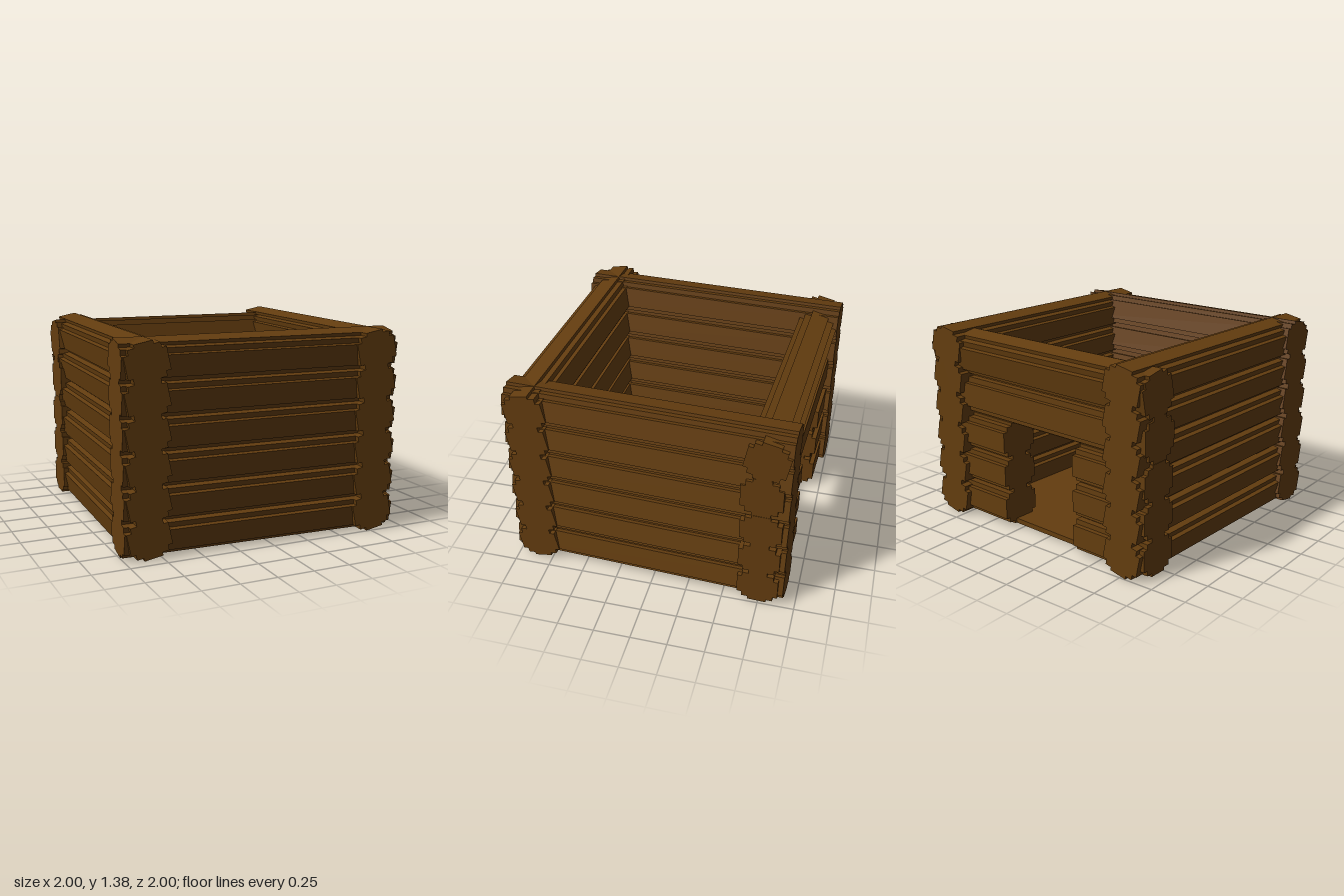
import * as THREE from 'three';

const wood = new THREE.MeshStandardMaterial({ color: 0x643d0f });
wood.name = 'brown timber';

const HALF = 0.96;   // half length of a wall
const OFFSET = 0.80; // wall centre line to cabin centre

// Stepped, roughly round log section, mirrored from one quarter
function logShape(w, h) {
  const q = [[w, 0.56 * h], [0.77 * w, 0.56 * h], [0.77 * w, 0.83 * h], [0.45 * w, 0.83 * h], [0.45 * w, h]];
  const r = [...q].reverse();
  const pts = [
    ...q,
    ...r.map(([x, y]) => [-x, y]),
    ...q.map(([x, y]) => [-x, -y]),
    ...r.map(([x, y]) => [x, -y]),
  ];
  return new THREE.Shape(pts.map(([x, y]) => new THREE.Vector2(x, y)));
}

// Log lying along x between x0 and x1; positive lean tips its top outward (+z)
function makeLog(name, x0, x1, y, { lean = 0, w = 0.14, h = 0.13, z = OFFSET } = {}) {
  const geo = new THREE.ExtrudeGeometry(logShape(w, h), { depth: x1 - x0, bevelEnabled: false });
  geo.rotateY(Math.PI / 2);
  geo.rotateX(lean);
  const mesh = new THREE.Mesh(geo, wood);
  mesh.name = name;
  mesh.position.set(x0, y, z);
  return mesh;
}

// Wall group whose outside faces the given turn about y
function makeWall(name, turn, logs) {
  const wall = new THREE.Group();
  wall.name = name;
  wall.rotation.y = turn;
  wall.add(...logs);
  return wall;
}

function solidLogs(lean) {
  const logs = [];
  for (let i = 0; i < 6; i++) logs.push(makeLog('wallLog', -HALF, HALF, 0.14 + i * 0.221, { lean }));
  return logs;
}

export function createModel() {
  const cabin = new THREE.Group();
  cabin.name = 'logCabin';

  // Three closed walls; both side walls tip the same way
  cabin.add(makeWall('frontWall', 0, solidLogs(0.2)));
  cabin.add(makeWall('leftWall', Math.PI / 2, solidLogs(-0.2)));
  cabin.add(makeWall('rightWall', -Math.PI / 2, solidLogs(0.2)));

  // Back wall with a doorway under two full-length logs
  const back = [];
  for (const y of [0.145, 0.39, 0.635]) {
    const size = { h: 0.13, z: 0.785 };
    back.push(makeLog('doorSideLog', -HALF, -0.28, y, size));
    back.push(makeLog('doorSideLog', 0.36, HALF, y, size));
  }
  back.push(makeLog('doorLintelLog', -HALF, HALF, 0.915, { h: 0.148, z: 0.78 }));
  back.push(makeLog('topBackLog', -HALF, HALF, 1.2, { lean: 0.2, h: 0.145 }));
  cabin.add(makeWall('backWall', Math.PI, back));

  // Floor slab
  const floor = new THREE.Mesh(new THREE.BoxGeometry(1.62, 0.035, 1.66), wood);
  floor.name = 'floor';
  floor.position.y = 0.03;
  cabin.add(floor);

  // The whole cabin stands slightly turned
  cabin.rotation.y = -0.044;
  const model = new THREE.Group();
  model.name = 'cabin';
  model.add(cabin);
  return model;
}
